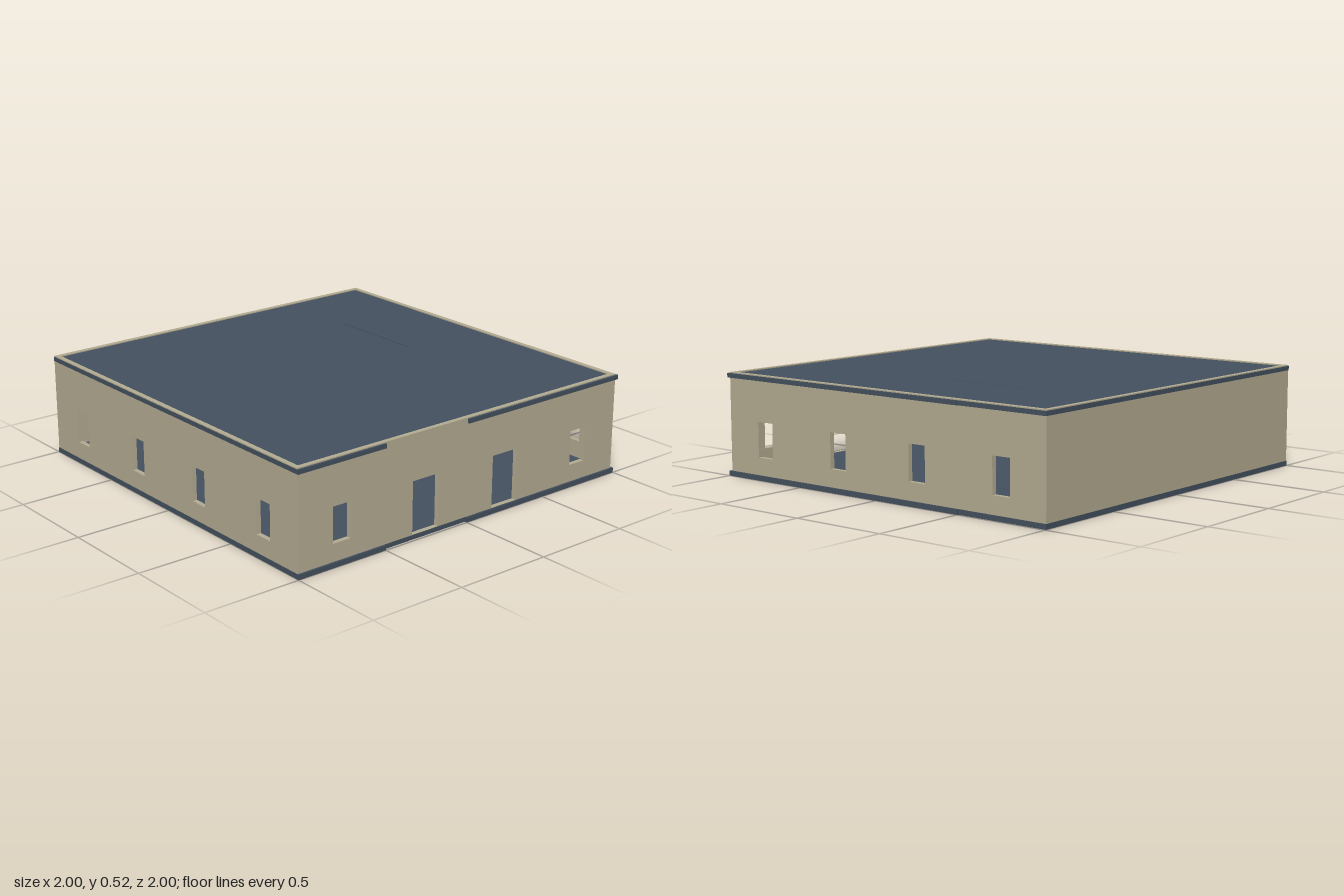
import * as THREE from 'three';

const wallMat = new THREE.MeshStandardMaterial({ color: 0xb5ad93 });
const slabMat = new THREE.MeshStandardMaterial({ color: 0x44515f });

const LOW = -0.998, HIGH = 0.99, THICK = 0.025; // outer wall faces
const FLOOR_TOP = 0.025, WALL_TOP = 0.52;

function polygon(points, Type = THREE.Shape) {
  return new Type(points.map(([x, y]) => new THREE.Vector2(x, y)));
}

const rect = (x0, y0, x1, y1) => [[x0, y0], [x1, y0], [x1, y1], [x0, y1]];

function extrude(shape, depth) {
  return new THREE.ExtrudeGeometry(shape, { depth, bevelEnabled: false });
}

// Upright wall panel from a to b with rectangular openings
function wallGeometry(a, b, openings) {
  const shape = polygon(rect(a, FLOOR_TOP, b, WALL_TOP));
  for (const o of openings) shape.holes.push(polygon(rect(...o), THREE.Path));
  return extrude(shape, THICK);
}

// Flat slab with a recessed front bay, a recessed rear corner and a narrow slit
function slabGeometry(bottom, top) {
  const shape = polygon([
    [-1, -1], [0.994, -1], [0.994, -0.5], [1, -0.5], [1, 1],
    [0, 1], [0, 0.987], [-0.5, 0.987], [-0.5, 1], [-1, 1],
  ]);
  shape.holes.push(polygon(rect(0.497, -0.5, 0.503, 0), THREE.Path));
  return extrude(shape, top - bottom).rotateX(Math.PI / 2).translate(0, top, 0);
}

export function createModel() {
  const group = new THREE.Group();
  const add = (name, geometry, material) => {
    const mesh = new THREE.Mesh(geometry, material);
    mesh.name = name;
    group.add(mesh);
  };

  // Floor and roof
  add('floorSlab', slabGeometry(0, FLOOR_TOP), slabMat);
  add('roofSlab', slabGeometry(0.493, 0.515), slabMat);

  // Front wall: two doorways between two windows
  const frontOpenings = [
    [-0.8, 0.113, -0.7, 0.29],
    [-0.333, FLOOR_TOP + 0.001, -0.175, 0.29],
    [0.167, FLOOR_TOP + 0.001, 0.325, 0.29],
    [0.69, 0.113, 0.79, 0.29],
  ];
  add('frontWall', wallGeometry(LOW, HIGH, frontOpenings).translate(0, 0, HIGH - THICK), wallMat);
  add('backWall', wallGeometry(LOW, HIGH, []).translate(0, 0, LOW), wallMat);

  // Side walls: four windows each
  const sideOpenings = [-0.747, -0.25, 0.25, 0.745].map((z) => [z - 0.05, 0.113, z + 0.05, 0.29]);
  for (const [name, outerX] of [['leftWall', HIGH], ['rightWall', LOW + THICK]]) {
    const geometry = wallGeometry(LOW + THICK, HIGH - THICK, sideOpenings);
    add(name, geometry.rotateY(-Math.PI / 2).translate(outerX, 0, 0), wallMat);
  }

  return group;
}
